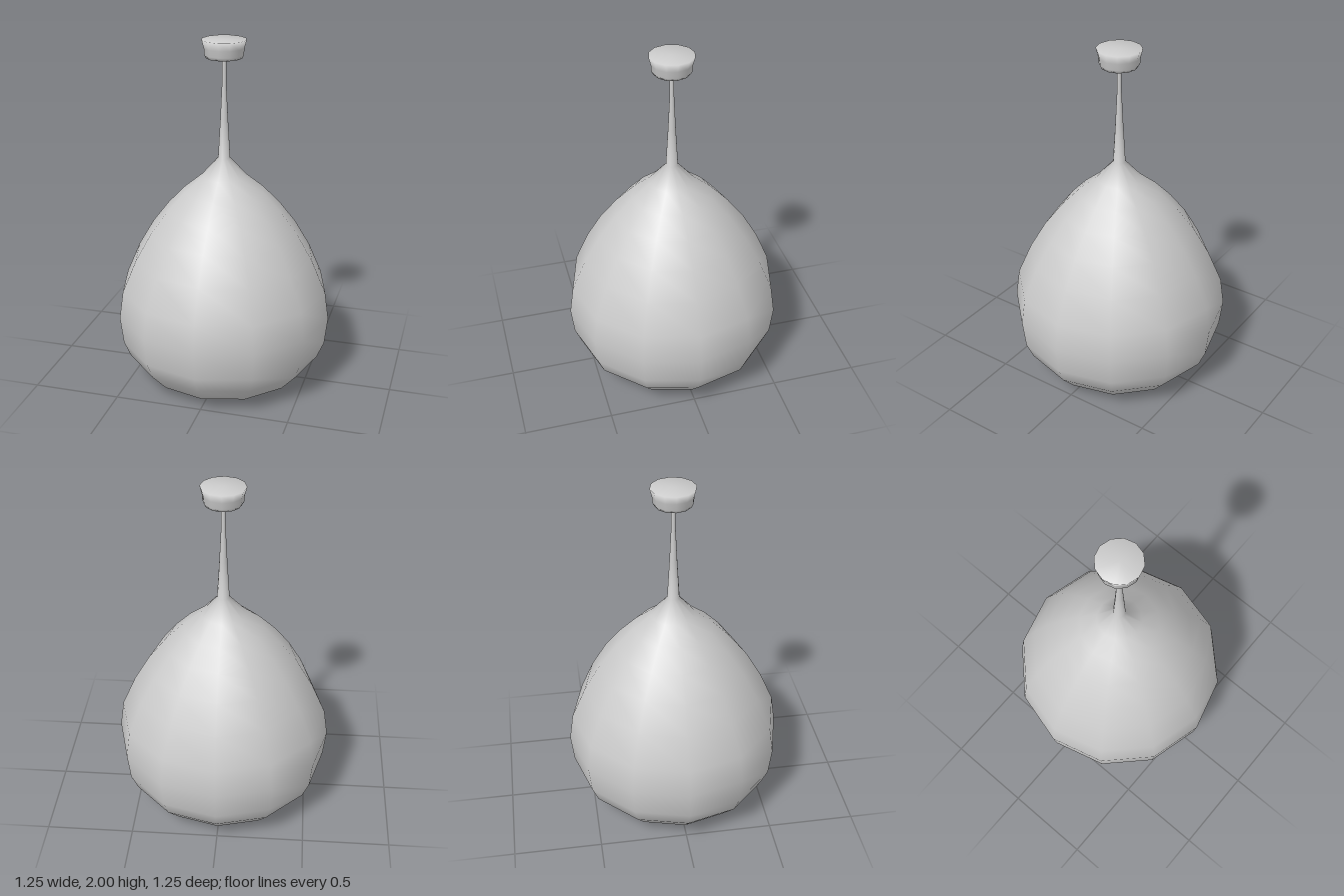
import * as THREE from 'three';

const SIDES = 12;

// Smooth twelve-sided turned part; profile runs [radius, height] from bottom to top
function turned(name, profile) {
  const points = profile.map(([r, y]) => new THREE.Vector2(r, y));
  const mesh = new THREE.Mesh(
    new THREE.LatheGeometry(points, SIDES),
    new THREE.MeshStandardMaterial({ color: 0xcccccc, side: THREE.DoubleSide })
  );
  mesh.name = name;
  return mesh;
}

export function createModel() {
  const group = new THREE.Group();
  group.name = 'pendantLamp';

  // Pear-shaped shade with a flat underside, flowing into the thin stem
  group.add(turned('shadeAndStem', [
    [0, 0], [0.37, 0], [0.47, 0.05], [0.565, 0.155], [0.605, 0.25],
    [0.623, 0.41], [0.6, 0.57], [0.52, 0.755], [0.43, 0.91],
    [0.33, 1.04], [0.23, 1.145], [0.127, 1.23], [0.035, 1.335],
    [0.022, 1.56], [0.013, 1.75], [0.012, 1.91],
  ]));

  // Flared ceiling cap
  group.add(turned('ceilingCap', [
    [0, 1.9], [0.1, 1.9], [0.11, 1.918], [0.113, 1.955], [0.125, 2], [0, 2],
  ]));

  return group;
}
